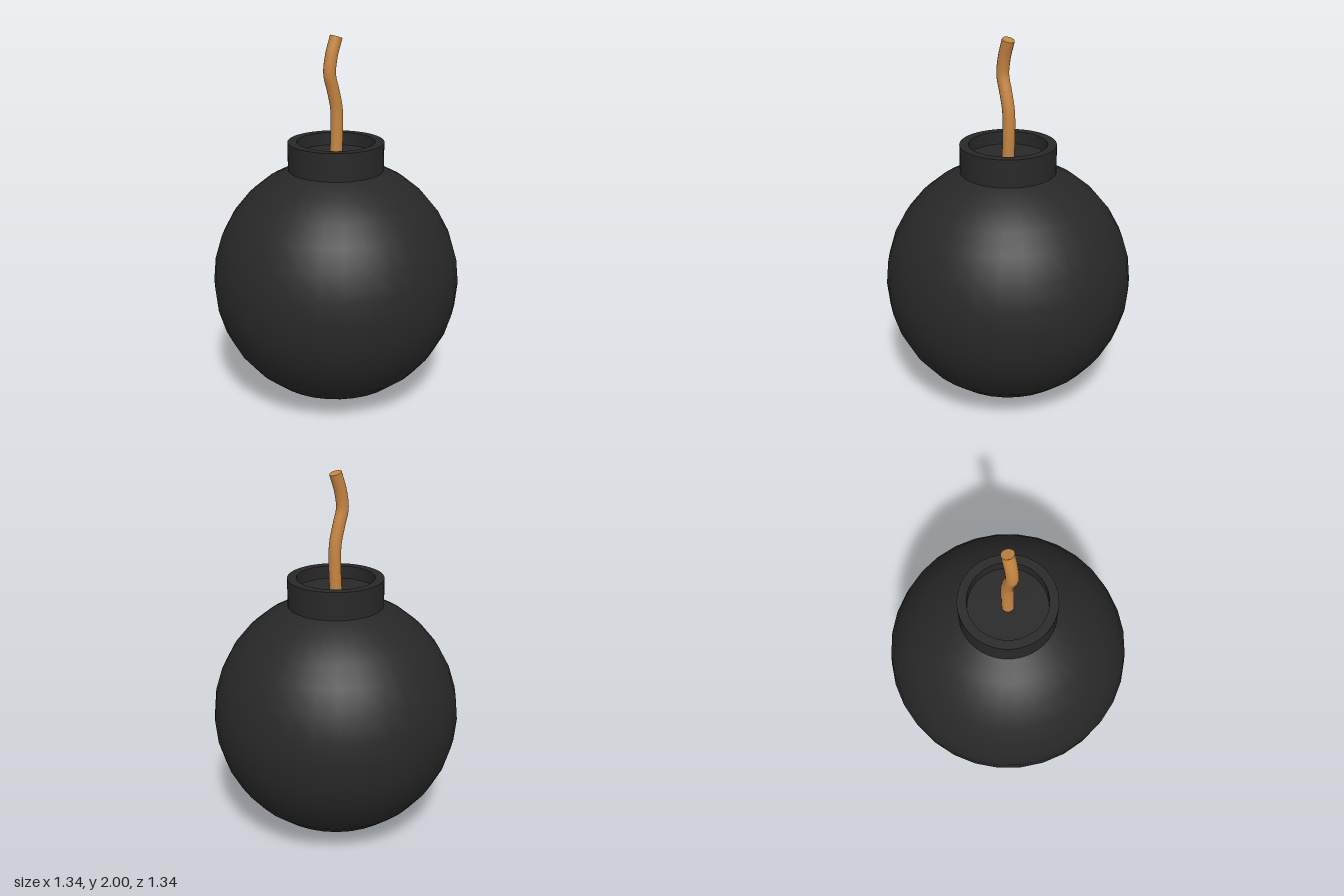
import * as THREE from 'three';

const R = 0.67; // body radius
const FLOOR = 1.37; // floor of the recess in the neck

export function createModel() {
  const model = new THREE.Group();
  const iron = new THREE.MeshStandardMaterial({ color: 0x282828 });
  const cord = new THREE.MeshStandardMaterial({ color: 0xc68642 });

  const add = (name, geometry, material) => {
    const mesh = new THREE.Mesh(geometry, material);
    mesh.name = name;
    model.add(mesh);
    return mesh;
  };

  // Round body standing on the ground
  add('body', new THREE.SphereGeometry(R, 32, 16), iron).position.y = R;

  // Neck collar with a shallow recess; each straight run is its own lathe to keep edges sharp
  const neck = new THREE.Group();
  neck.name = 'neck';
  const profile = [[0.2, 1.29], [0.256, 1.29], [0.256, 1.44], [0.208, 1.44], [0.208, FLOOR], [0, FLOOR]]
    .map(([x, y]) => new THREE.Vector2(x, y));
  const names = ['collarUnderside', 'collarWall', 'collarRim', 'recessWall', 'recessFloor'];
  names.forEach((name, i) => {
    const part = new THREE.Mesh(new THREE.LatheGeometry([profile[i], profile[i + 1]], 48), iron);
    part.name = name;
    neck.add(part);
  });
  model.add(neck);

  // Wavy fuse rising from the recess
  const path = new THREE.CatmullRomCurve3(
    [[0, FLOOR - 0.01], [0.006, 1.5], [0.003, 1.62], [-0.02, 1.72], [-0.041, 1.8], [-0.03, 1.89], [0.002, 1.988]]
      .map(([x, y]) => new THREE.Vector3(x, y, 0))
  );
  const radius = 0.033;
  add('fuse', new THREE.TubeGeometry(path, 32, radius, 16), cord);

  // Flat cut end of the fuse
  const tip = add('fuseTip', new THREE.CircleGeometry(radius, 16), cord);
  tip.position.copy(path.getPointAt(1));
  tip.quaternion.setFromUnitVectors(new THREE.Vector3(0, 0, 1), path.getTangentAt(1));

  return model;
}
